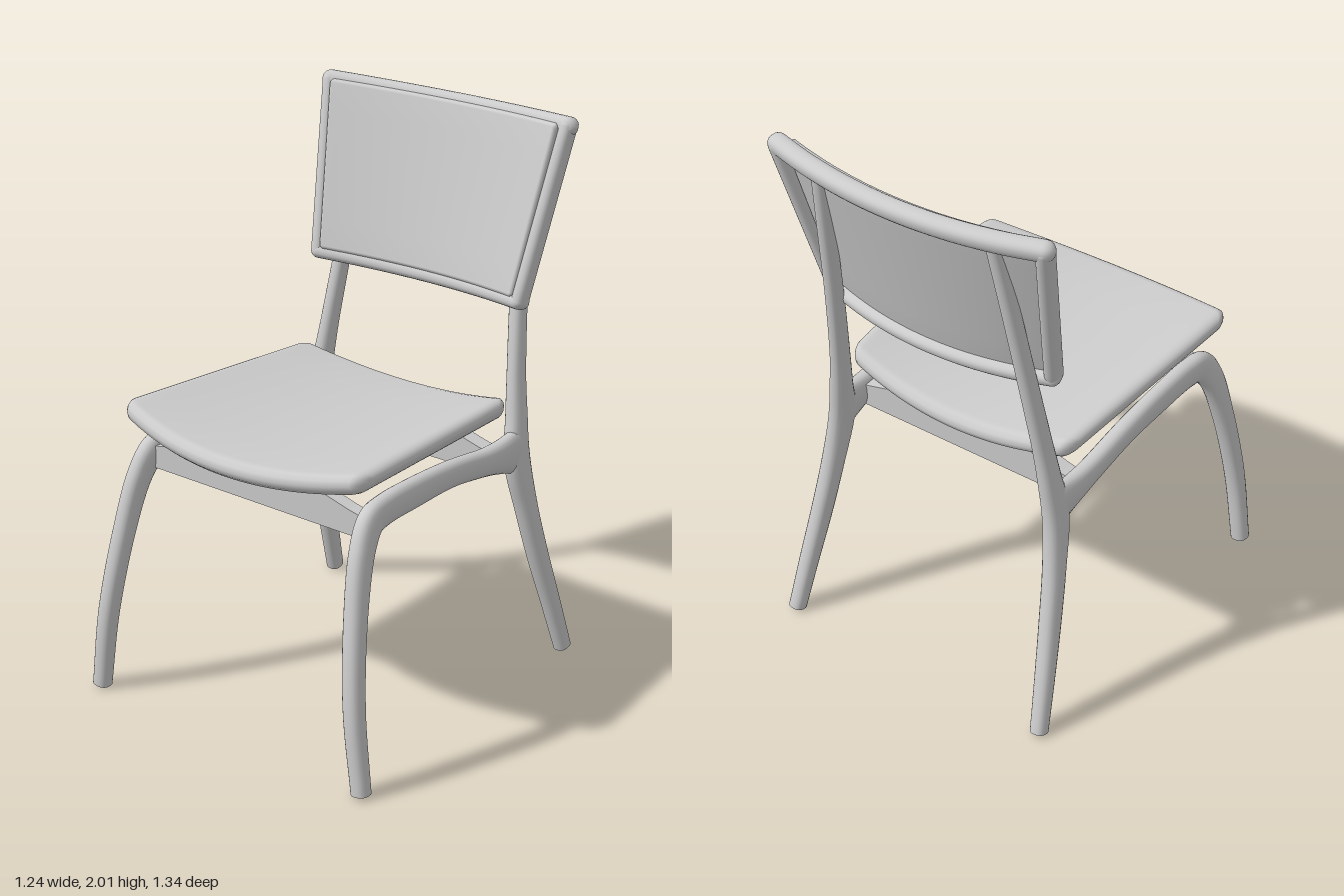
import * as THREE from 'three';

const wood = new THREE.MeshStandardMaterial({ color: 0xcccccc });
wood.name = 'paleGrey';
const { lerp } = THREE.MathUtils;
const V = (x, y, z) => new THREE.Vector3(x, y, z);

// Skin a list of equal rings; optional flat caps with their own vertices
function skin(rings, capStart = false, capEnd = false) {
  const n = rings[0].length, pos = [], idx = [];
  rings.forEach(r => r.forEach(p => pos.push(p.x, p.y, p.z)));
  for (let i = 0; i < rings.length - 1; i++) {
    for (let j = 0; j < n; j++) {
      const a = i * n + j, b = i * n + (j + 1) % n;
      idx.push(a, b, b + n, a, b + n, a + n);
    }
  }
  const cap = (ring, flip) => {
    const base = pos.length / 3;
    const c = ring.reduce((s, p) => s.add(p), V(0, 0, 0)).divideScalar(n);
    [c, ...ring].forEach(p => pos.push(p.x, p.y, p.z));
    for (let j = 0; j < n; j++) {
      const a = base + 1 + j, b = base + 1 + (j + 1) % n;
      flip ? idx.push(base, b, a) : idx.push(base, a, b);
    }
  };
  if (capStart) cap(rings[0], true);
  if (capEnd) cap(rings[rings.length - 1], false);
  const g = new THREE.BufferGeometry();
  g.setAttribute('position', new THREE.Float32BufferAttribute(pos, 3));
  g.setIndex(idx);
  g.computeVertexNormals();
  return g;
}

// Sweep an oval along points [x, y, z, a, b]; b lies along 'side', a across it
function sweep(pts, side, roundStart, roundEnd, steps = 48, sides = 20) {
  const path = new THREE.CatmullRomCurve3(pts.map(p => V(p[0], p[1], p[2])));
  const size = new THREE.CatmullRomCurve3(pts.map(p => V(p[3], p[4], 0)), false, 'catmullrom');
  const rings = [];
  const ring = (t, shift, k) => {
    const T = path.getTangent(t), s = size.getPoint(t);
    const B = side.clone().addScaledVector(T, -side.dot(T)).normalize();
    const N = B.clone().cross(T).normalize();
    const c = path.getPoint(t).addScaledVector(T, shift * Math.min(s.x, s.y));
    rings.push(Array.from({ length: sides }, (_, j) => {
      const q = j / sides * Math.PI * 2;
      const soft = v => Math.sign(v) * Math.pow(Math.abs(v), 0.85);
      return c.clone().addScaledVector(N, s.x * k * soft(Math.cos(q)))
        .addScaledVector(B, s.y * k * soft(Math.sin(q)));
    }));
  };
  const q = i => i / 5 * Math.PI / 2;
  if (roundStart) for (let i = 5; i > 0; i--) ring(0, -Math.sin(q(i)), Math.cos(q(i)));
  for (let i = 0; i <= steps; i++) ring(i / steps, 0, 1);
  if (roundEnd) for (let i = 1; i <= 5; i++) ring(1, Math.sin(q(i)), Math.cos(q(i)));
  return skin(rings, !roundStart, !roundEnd);
}

// Bent slab with soft edges: map(u in -1..1, w in 0..1, t) gives each point
function slab(map, h, ru, rw) {
  const rings = [], E = 6;
  const ring = (u, k) => {
    const pts = [], lo = rw * (2 - k), hi = 1 - lo;
    for (let i = 0; i <= E; i++) {
      const a = i / E * Math.PI;
      pts.push(map(u, hi + rw * k * Math.sin(a), h * k * Math.cos(a)));
    }
    for (let i = 1; i < 6; i++) pts.push(map(u, lerp(hi, lo, i / 6), -h * k));
    for (let i = 0; i <= E; i++) {
      const a = Math.PI + i / E * Math.PI;
      pts.push(map(u, lo + rw * k * Math.sin(a), h * k * Math.cos(a)));
    }
    for (let i = 1; i < 6; i++) pts.push(map(u, lerp(lo, hi, i / 6), h * k));
    rings.push(pts);
  };
  const q = i => i / 6 * Math.PI / 2;
  for (let i = 6; i > 0; i--) ring(-1 + ru * (1 - Math.sin(q(i))), Math.cos(q(i)));
  for (let i = 0; i <= 32; i++) ring(lerp(-1 + ru, 1 - ru, i / 32), 1);
  for (let i = 1; i <= 6; i++) ring(1 - ru * (1 - Math.sin(q(i))), Math.cos(q(i)));
  return skin(rings);
}

export function createModel() {
  const group = new THREE.Group();
  const add = (name, geo) => {
    const m = new THREE.Mesh(geo, wood);
    m.name = name;
    group.add(m);
    return m;
  };

  // Front leg flowing into the side rail, then back leg rising into the post
  const frontLegRail = [
    [0.585, 0, 0.637, 0.032, 0.033], [0.547, 0.3, 0.626, 0.037, 0.035],
    [0.51, 0.6, 0.572, 0.041, 0.036], [0.485, 0.8, 0.508, 0.05, 0.036],
    [0.472, 0.875, 0.45, 0.057, 0.036], [0.466, 0.89, 0.38, 0.055, 0.036],
    [0.46, 0.89, 0.2, 0.054, 0.035], [0.456, 0.882, 0, 0.048, 0.035],
    [0.452, 0.853, -0.2, 0.05, 0.035], [0.45, 0.84, -0.3, 0.062, 0.035],
    [0.447, 0.83, -0.4, 0.085, 0.033],
  ];
  const backLegPost = [
    [0.535, 0, -0.617, 0.032, 0.03], [0.515, 0.2, -0.557, 0.036, 0.033],
    [0.493, 0.4, -0.497, 0.041, 0.035], [0.472, 0.6, -0.445, 0.045, 0.036],
    [0.45, 0.8, -0.408, 0.056, 0.036], [0.433, 0.95, -0.422, 0.045, 0.033],
    [0.415, 1.1, -0.44, 0.038, 0.029], [0.383, 1.4, -0.487, 0.033, 0.028],
    [0.355, 1.7, -0.54, 0.03, 0.027], [0.33, 1.95, -0.588, 0.025, 0.025],
  ];
  for (const s of [1, -1]) {
    const flip = pts => pts.map(([x, ...r]) => [x * s, ...r]);
    const label = s > 0 ? 'left' : 'right';
    add(label + 'FrontLegAndRail', sweep(flip(frontLegRail), V(1, 0, 0), false, true, 70));
    add(label + 'BackLegAndPost', sweep(flip(backLegPost), V(1, 0, 0), false, true, 60));
  }

  // Seat: dished across, bowed front and back edges, slight rearward tilt
  add('seat', slab((u, w, t) => {
    const z = lerp(-0.39 + 0.045 * u * u, 0.637 - 0.085 * u * u, w);
    const y = 0.975 + 0.035 * (z - 0.12) + 0.06 * u * u + t;
    return V(u * lerp(0.457, 0.522, w), y, z);
  }, 0.037, 0.09, 0.045));

  // Aprons raised in the middle to carry the seat
  const apron = (name, bottom, drop, z, depth) => {
    const shape = new THREE.Shape();
    shape.moveTo(-0.45, bottom);
    [[0.45, bottom], [0.45, 0.9 - drop], [0.4, 0.91 - drop], [0.28, 0.942 - drop],
      [0.19, 0.968 - drop], [-0.19, 0.968 - drop], [-0.28, 0.942 - drop],
      [-0.4, 0.91 - drop], [-0.45, 0.9 - drop]].forEach(p => shape.lineTo(...p));
    const g = new THREE.ExtrudeGeometry(shape, { depth, bevelEnabled: false });
    add(name, g.translate(0, 0, z - depth / 2));
  };
  apron('frontApron', 0.82, 0, 0.45, 0.05);
  apron('backApron', 0.79, 0.03, -0.278, 0.06);

  // Lengthwise bar beneath the seat
  add('seatBar', new THREE.BoxGeometry(0.06, 0.05, 0.7)).position.set(0, 0.905, 0.09);

  // Curved backrest frame: top and bottom rails with two side bars
  const frame = (u, v) => [
    u * lerp(0.438, 0.507, v),
    lerp(1.373, 1.966, v) + 0.015 * (u * u - 1),
    -0.412 - 0.155 * v - 0.068 * (1 - u * u),
  ];
  const facing = V(0, 0.25, 0.97).normalize();
  const us = [-1, -0.75, -0.5, -0.25, 0, 0.25, 0.5, 0.75, 1];
  add('backrestTopRail', sweep(us.map(u => [...frame(u, 1), 0.033, 0.034]), facing, true, true));
  add('backrestBottomRail', sweep(us.map(u => [...frame(u, 0), 0.027, 0.037]), facing, true, true));
  for (const s of [1, -1]) {
    const pts = [0, 0.5, 1].map(v => [...frame(s, v), 0.026, 0.036]);
    add(s > 0 ? 'backrestLeftBar' : 'backrestRightBar', sweep(pts, facing, true, true, 12));
  }

  // Backrest panel set into the frame
  add('backrestPanel', slab((u, w, t) => {
    const v = 1 - w;
    return V(u * lerp(0.422, 0.488, v), 1.385 + 0.592 * v + 0.012 * (u * u - 1) + 0.24 * t,
      lerp(-0.4, -0.545, v) - 0.066 * (1 - u * u) + t);
  }, 0.023, 0.035, 0.025));

  return group;
}
